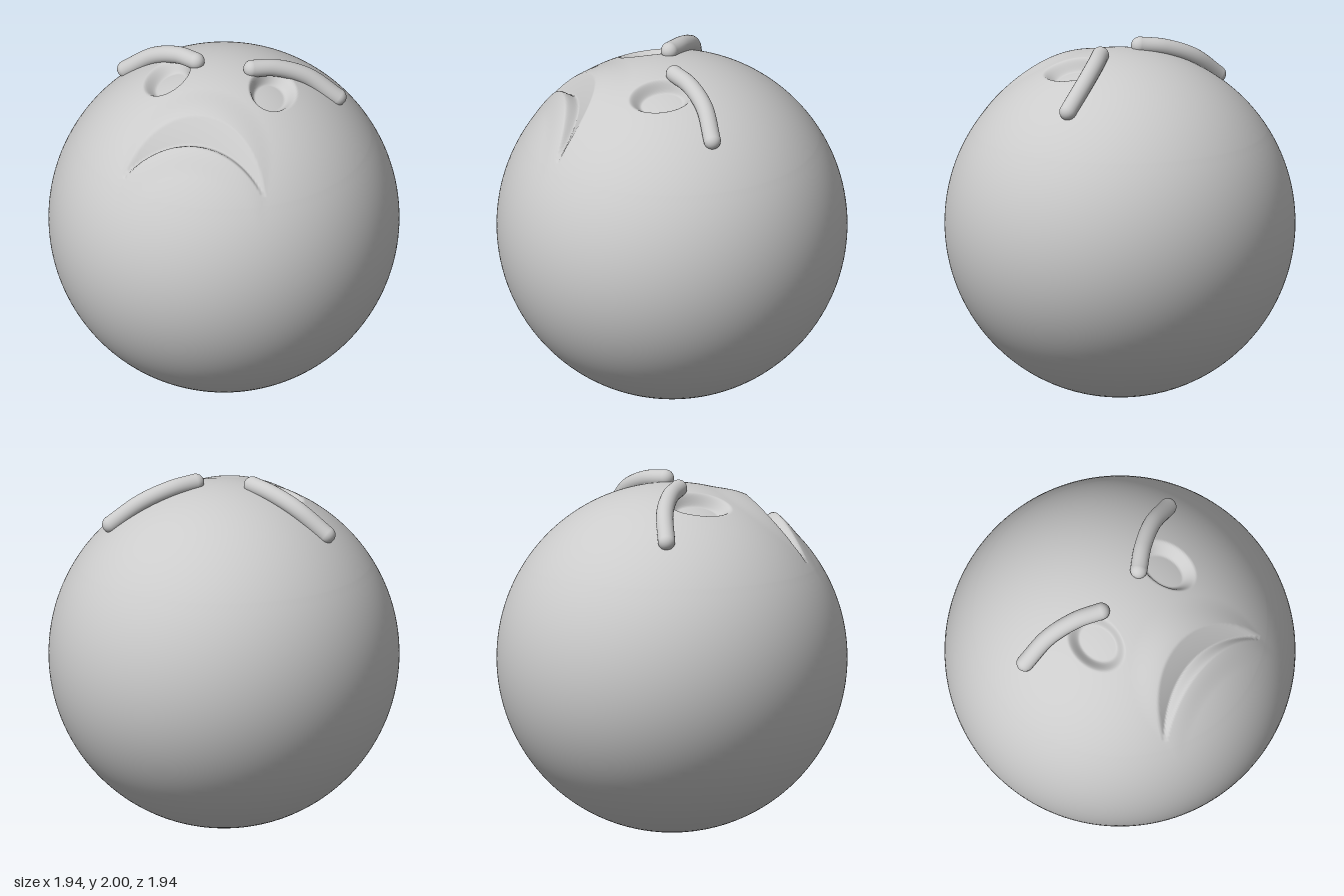
import * as THREE from 'three';
import { mergeVertices, mergeGeometries } from 'three/addons/utils/BufferGeometryUtils.js';

const R = 0.972; // head radius; the head rests on y = 0
const material = new THREE.MeshStandardMaterial({ color: 0xcccccc });
const { smoothstep } = THREE.MathUtils;

// Mouth outline in plan: two arcs through the corners at x = +-0.41, z = 0.68
const MOUTH = 0.41;
const arc = (x, zMid, r) => zMid + r - Math.sqrt(r * r - x * x);

// Radial offset of the head surface above plan point (x, z)
function relief(x, z) {
  // Oval eye sockets
  const eye = Math.hypot((Math.abs(x) - 0.302) / 0.128, (z - 0.085) / 0.18);
  let offset = -0.07 * (1 - smoothstep(eye, 0.68, 1.02));

  // Frowning mouth: long slope down from the top lip, short wall up to the bottom lip
  if (Math.abs(x) < MOUTH) {
    const top = arc(x, 0.42, 0.453);
    const bottom = arc(x, 0.59, 0.98);
    const width = bottom - top;
    const fade = 1 - (x / MOUTH) ** 2;
    const t = (z - top) / width;
    if (t < 0) offset += 0.02 * fade * (1 - smoothstep(top - z, 0, 0.2));
    else if (t > 1) offset += 0.015 * fade * (1 - smoothstep(z - bottom, 0, 0.12));
    else {
      const dip = t < 0.77 ? t / 0.77 : 1 - smoothstep(t, 0.77, 1);
      const lip = (0.02 - 0.005 * t) * fade;
      offset += lip - (0.056 * Math.min(1, width / 0.17) + lip) * dip;
    }
  }
  return offset;
}

// Sphere with its rows and columns packed towards the face, pressed by the relief
function createHead() {
  const columns = 288, rows = 160;
  const geometry = new THREE.SphereGeometry(R, columns, rows);
  const position = geometry.attributes.position;
  for (let i = 0; i < position.count; i++) {
    const s = ((i % (columns + 1)) / columns * 2 - 1) * Math.PI;
    const v = Math.floor(i / (columns + 1)) / rows;
    const a = s - 0.4 * Math.sin(s);
    const theta = v < 0.7 ? v / 0.7 : 1 + (v - 0.7) / 0.3 * (Math.PI - 1);
    const dir = new THREE.Vector3().setFromSphericalCoords(1, theta, a);
    const radius = R + (theta < 1.1 ? relief(dir.x * R, dir.z * R) : 0);
    position.setXYZ(i, dir.x * radius, dir.y * radius + R, dir.z * radius);
  }
  // Weld the seam so the shading is continuous
  geometry.deleteAttribute('uv');
  geometry.deleteAttribute('normal');
  const welded = mergeVertices(geometry, 1e-5);
  welded.computeVertexNormals();
  const head = new THREE.Mesh(welded, material);
  head.name = 'head';
  return head;
}

// Round-ended roll following the head surface; side is +1 (left) or -1 (right)
function createBrow(side) {
  const radius = 0.048;
  const path = [
    [0.16, 0, 0.02], [0.28, -0.075, 0.03], [0.44, -0.143, 0.035], [0.607, -0.172, 0.025],
  ].map(([x, z, lift]) =>
    new THREE.Vector3(side * x, R + lift + Math.sqrt(R * R - x * x - z * z), z));
  const parts = [
    new THREE.TubeGeometry(new THREE.CatmullRomCurve3(path), 48, radius, 24),
    ...[path[0], path[3]].map((p) =>
      new THREE.SphereGeometry(radius, 24, 16).translate(p.x, p.y, p.z)),
  ];
  const brow = new THREE.Mesh(mergeGeometries(parts), material);
  brow.name = side > 0 ? 'leftBrow' : 'rightBrow';
  return brow;
}

export function createModel() {
  const model = new THREE.Group();
  model.name = 'angryFaceBall';
  model.add(createHead(), createBrow(1), createBrow(-1));
  return model;
}
